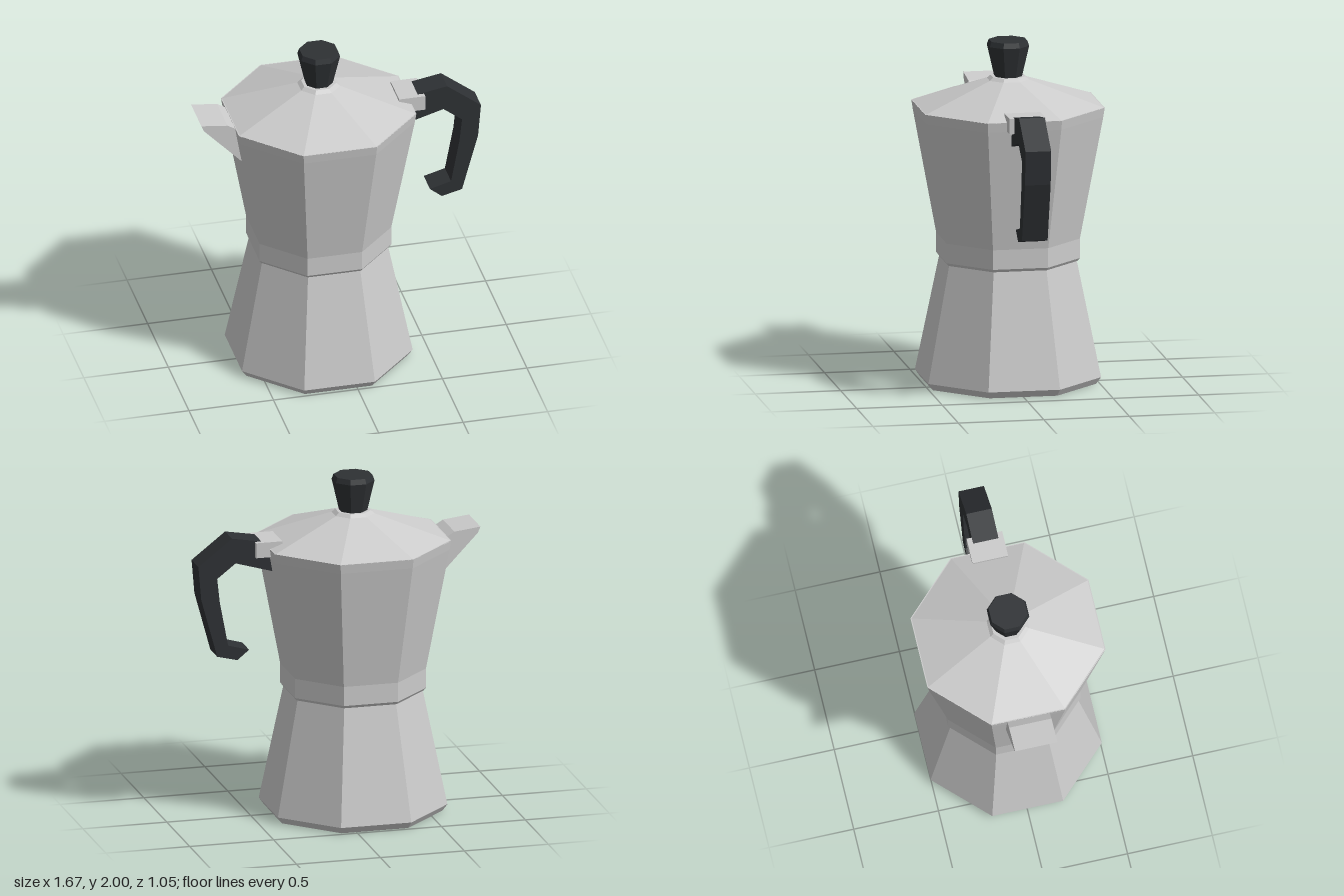
import * as THREE from 'three';

const AXIS_X = -0.11; // the pot stands off-centre, spout and handle balance it

export function createModel() {
  const group = new THREE.Group();
  const metal = new THREE.MeshStandardMaterial({ color: 0xcccccc, flatShading: true });
  const black = new THREE.MeshStandardMaterial({ color: 0x2e3134, flatShading: true });

  const add = (name, geometry, material, x = 0, y = 0, z = 0) => {
    const mesh = new THREE.Mesh(geometry, material);
    mesh.name = name;
    mesh.position.set(x, y, z);
    group.add(mesh);
  };

  // Eight-sided solid with flats facing the axes; profile is [flat distance, y], bottom up
  const octagon = (name, profile, material) => {
    const points = profile.map(([a, y]) => new THREE.Vector2(a / Math.cos(Math.PI / 8), y));
    add(name, new THREE.LatheGeometry(points, 8, Math.PI / 8), material, AXIS_X);
  };

  // Side outline extruded symmetrically about z = 0
  const plate = (name, outline, width, material) => {
    const shape = new THREE.Shape(outline.map(([x, y]) => new THREE.Vector2(x, y)));
    const geometry = new THREE.ExtrudeGeometry(shape, { depth: width, bevelEnabled: false });
    add(name, geometry, material, 0, 0, -width / 2);
  };

  // Pot
  octagon('waterChamber', [[0, 0], [0.478, 0], [0.505, 0.04], [0.373, 0.72], [0, 0.72]], metal);
  octagon('upperPot', [
    [0, 0.718], [0.378, 0.718], [0.39, 0.735], [0.39, 0.85],
    [0.517, 1.57], [0.525, 1.625], [0, 1.625],
  ], metal);
  octagon('lid', [[0.525, 1.623], [0.115, 1.772], [0.095, 1.79], [0, 1.79]], metal);
  octagon('lidKnob', [[0, 1.785], [0.075, 1.785], [0.115, 1.97], [0.105, 2], [0, 2]], black);

  // Spout
  plate('spout', [
    [-0.55, 1.4], [-0.55, 1.6], [-0.635, 1.62], [-0.68, 1.647],
    [-0.835, 1.665], [-0.82, 1.63], [-0.6, 1.4],
  ], 0.25, metal);

  // Hinge and handle
  add('hinge', new THREE.BoxGeometry(0.155, 0.09, 0.21), metal, 0.418, 1.62, 0);
  plate('handle', [
    [0.37, 1.475], [0.61, 1.545], [0.72, 1.46], [0.705, 1.32], [0.655, 1.055], [0.53, 1.02],
    [0.6, 0.963], [0.72, 0.993], [0.815, 1.34], [0.832, 1.54], [0.632, 1.695], [0.37, 1.65],
  ], 0.15, black);

  return group;
}
